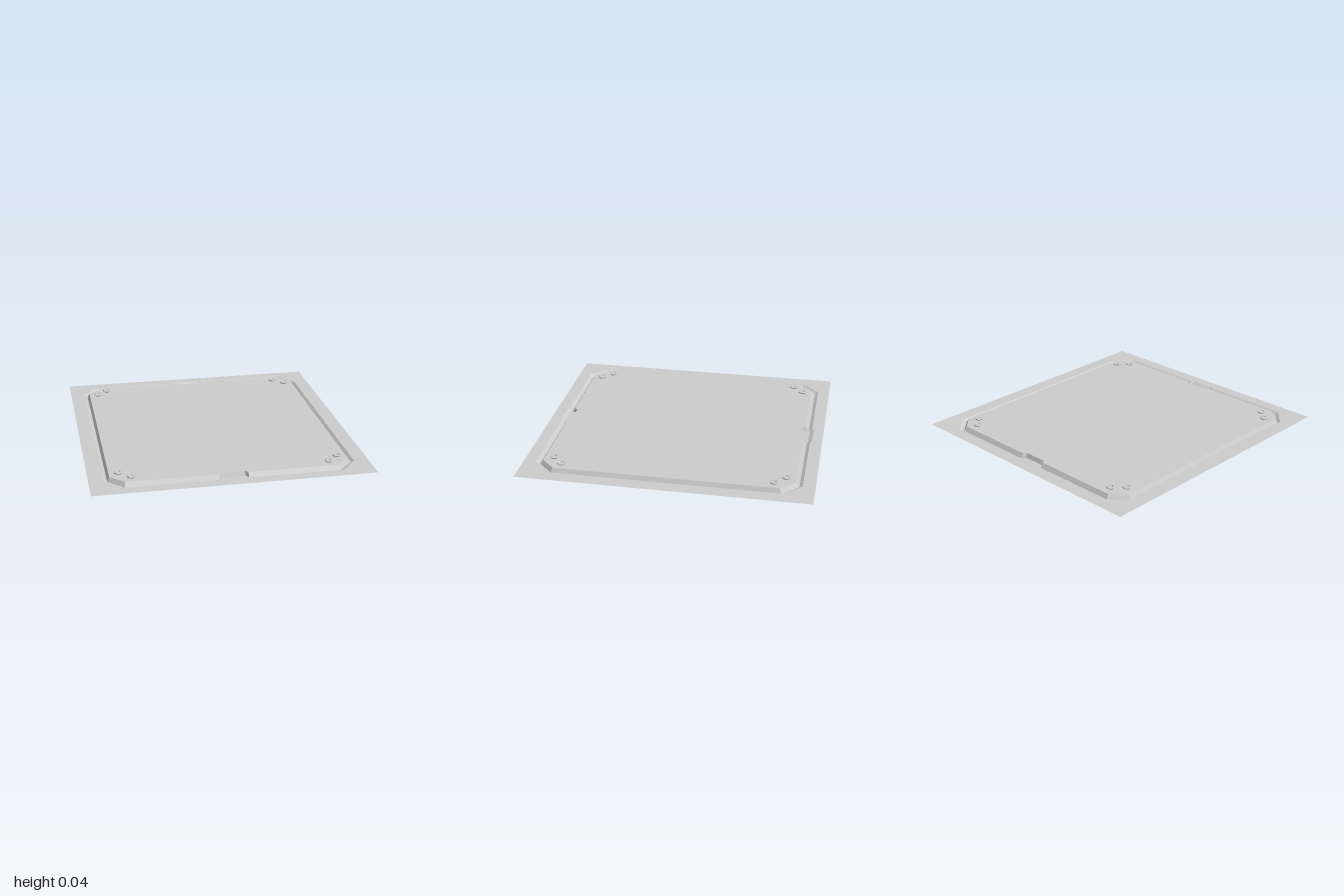
import * as THREE from 'three';

// Eight-cornered outline with a grip notch in the middle of both short edges,
// as [x, z] points running from +x towards +z.
function outline({ hx, hz, cx, cz, notch, w0, w1 }) {
  const half = [
    [hx, cz], [cx, hz],
    [w0, hz], [w1, notch], [-w1, notch], [-w0, hz],
    [-cx, hz], [-hx, cz],
  ];
  return [...half, ...half.map(([x, z]) => [-x, -z])];
}

// Panel edge, groove wall, groove floor, groove lip, sheet border
const rings = [
  { y: 0.03, hx: 0.81, hz: 0.865, cx: 0.715, cz: 0.77, notch: 0.842, w0: 0.1, w1: 0.08 },
  { y: 0.0, hx: 0.825, hz: 0.885, cx: 0.722, cz: 0.778, notch: 0.855, w0: 0.1, w1: 0.085 },
  { y: 0.0, hx: 0.832, hz: 0.893, cx: 0.727, cz: 0.782, notch: 0.9, w0: 0.1, w1: 0.085 },
  { y: 0.015, hx: 0.85, hz: 0.915, cx: 0.738, cz: 0.79, notch: 0.928, w0: 0.105, w1: 0.09 },
  { y: 0.015, hx: 0.95, hz: 1, cx: 0.95, cz: 1, notch: 1, w0: 0.105, w1: 0.09 },
];

// Band of quads between two neighbouring rings
function band(inner, outer) {
  const a = outline(inner), b = outline(outer), pos = [];
  a.forEach((p, i) => {
    const j = (i + 1) % a.length;
    const a0 = [p[0], inner.y, p[1]], a1 = [a[j][0], inner.y, a[j][1]];
    const b0 = [b[i][0], outer.y, b[i][1]], b1 = [b[j][0], outer.y, b[j][1]];
    pos.push(...a0, ...a1, ...b1, ...a0, ...b1, ...b0);
  });
  const g = new THREE.BufferGeometry();
  g.setAttribute('position', new THREE.Float32BufferAttribute(pos, 3));
  g.computeVertexNormals();
  return g;
}

export function createModel() {
  const group = new THREE.Group();
  const material = new THREE.MeshStandardMaterial({
    color: 0xcccccc, side: THREE.DoubleSide, flatShading: true,
  });
  const add = (name, geometry) => {
    const mesh = new THREE.Mesh(geometry, material);
    mesh.name = name;
    group.add(mesh);
    return mesh;
  };

  // Raised flat panel
  const shape = new THREE.Shape(outline(rings[0]).map(([x, z]) => new THREE.Vector2(x, z)));
  const panel = new THREE.ShapeGeometry(shape);
  panel.rotateX(-Math.PI / 2);
  panel.translate(0, rings[0].y, 0);
  add('panel', panel);

  // Groove around the panel and the flat sheet outside it
  ['grooveWall', 'grooveFloor', 'grooveLip', 'border'].forEach((name, i) => {
    add(name, band(rings[i], rings[i + 1]));
  });

  // Two hexagonal bolts with a recessed top at each corner
  const profile = [
    [0.025, 0], [0.03, 0.005], [0.03, 0.01], [0.027, 0.012],
    [0.019, 0.012], [0.016, 0.006], [0, 0.006],
  ].map(([r, y]) => new THREE.Vector2(r, y));
  const bolt = new THREE.LatheGeometry(profile, 6);
  for (const sx of [-1, 1]) for (const sz of [-1, 1]) {
    for (const [x, z] of [[0.747, 0.725], [0.67, 0.798]]) {
      const mesh = add('bolt', bolt);
      mesh.position.set(sx * x, rings[0].y, sz * z);
      mesh.rotation.y = sx * sz * 0.3;
    }
  }
  return group;
}
